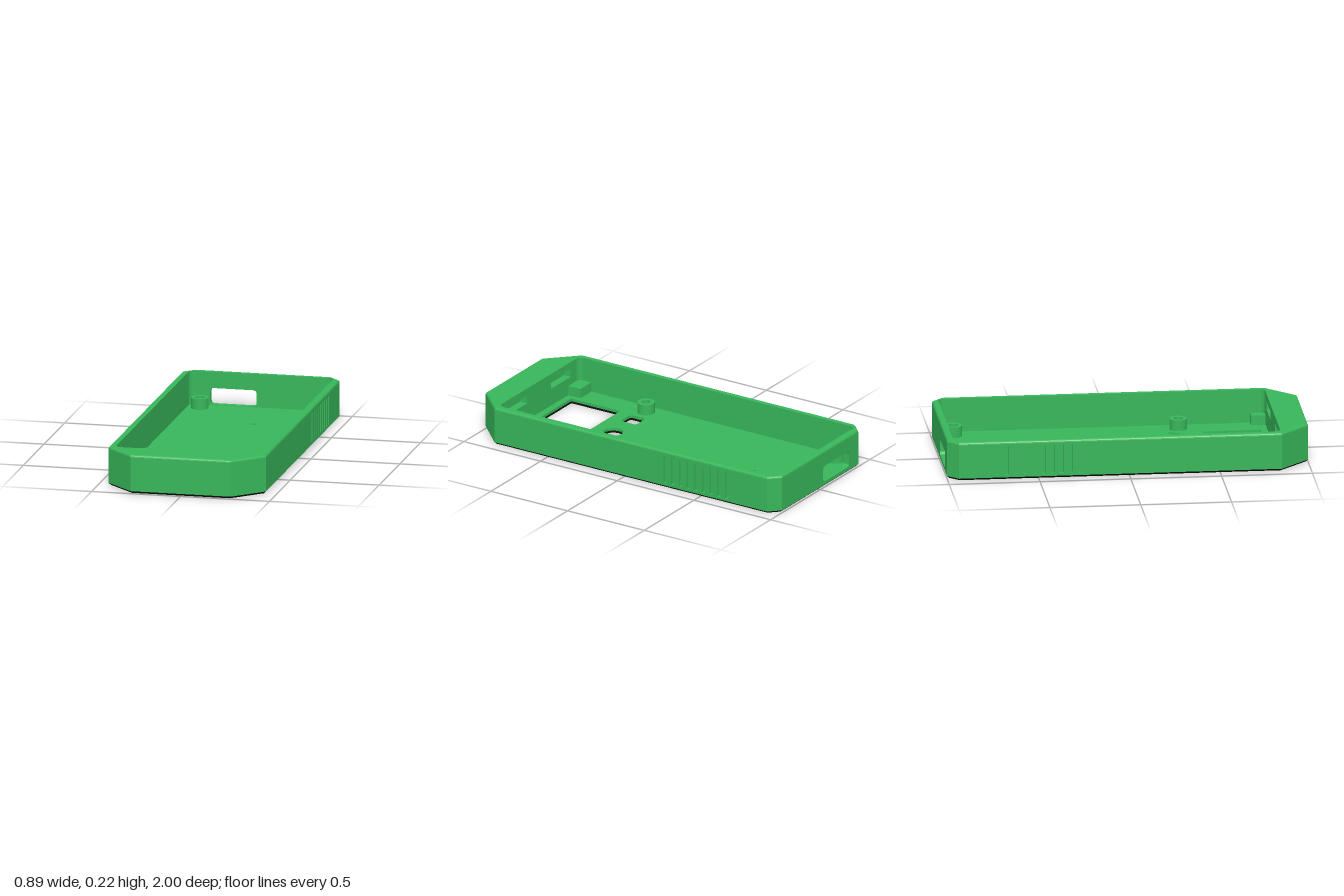
import * as THREE from 'three';

const green = new THREE.MeshStandardMaterial({ color: 0x37b659 });
green.name = 'green';
const black = new THREE.MeshStandardMaterial({ color: 0x111111 });
black.name = 'black';
const darkGreen = new THREE.MeshStandardMaterial({ color: 0x1c5a2e });
darkGreen.name = 'dark green';

const HW = 0.443, INX = 0.405, INB = -0.965, INF = 0.835;
const FLOOR = 0.03, TOP = 0.218, BEVEL = 0.014;

// Mirrors a half outline (back to front on +x) into a closed loop
const mirrorLoop = (half) => [...half, ...half.map(([x, z]) => [-x, z]).reverse()];

// Outer outline inset by d, optionally with the vent grooves
function outer(d = 0, vents = false) {
  const back = 0.06 - 0.586 * d, front = 0.162 - 0.586 * d, x = HW - d;
  const half = [[x - back, -1 + d], [x, -1 + d + back]];
  if (vents) {
    for (let i = 8; i >= 0; i--) {
      const z = -0.275 - i * 0.05;
      half.push([x, z - 0.01], [x - 0.015, z - 0.01], [x - 0.015, z + 0.01], [x, z + 0.01]);
    }
  }
  half.push([x, 1 - d - front], [x - front, 1 - d]);
  return mirrorLoop(half);
}

// Cavity outline with rounded corners, optionally with the catch slots in front
function inner(slots = false) {
  const r = 0.03, half = [];
  for (const [cz, start] of [[INB + r, -Math.PI / 2], [INF - r, 0]]) {
    for (let i = 0; i <= 5; i++) {
      const a = start + (i / 5) * Math.PI / 2;
      half.push([INX - r + r * Math.cos(a), cz + r * Math.sin(a)]);
    }
  }
  if (slots) half.push([0.32, INF], [0.32, INF + 0.045], [0.12, INF + 0.045], [0.12, INF]);
  return mirrorLoop(half);
}

const toShape = (pts) => new THREE.Shape(pts.map(([x, z]) => new THREE.Vector2(x, z)));

function circle(x, z, r) {
  const s = new THREE.Shape();
  s.absarc(x, z, r, 0, Math.PI * 2, false);
  return s;
}

// Polygon with rounded corners
function rounded(pts, r) {
  const s = new THREE.Shape(), v = pts.map(([x, y]) => new THREE.Vector2(x, y)), n = v.length;
  v.forEach((p, i) => {
    const from = v[(i + n - 1) % n].clone().sub(p).setLength(r).add(p);
    const to = v[(i + 1) % n].clone().sub(p).setLength(r).add(p);
    if (i) s.lineTo(from.x, from.y); else s.moveTo(from.x, from.y);
    s.quadraticCurveTo(p.x, p.y, to.x, to.y);
  });
  s.closePath();
  return s;
}
const rect = (x0, x1, y0, y1) => [[x0, y0], [x1, y0], [x1, y1], [x0, y1]];

export function createModel() {
  const model = new THREE.Group();
  const add = (name, geo, mat) => {
    const m = new THREE.Mesh(geo, mat);
    m.name = name;
    model.add(m);
    return m;
  };
  // Flat layer of a plan shape between two heights
  const slab = (name, shape, holes, y0, y1, mat = green) => {
    shape.holes = holes;
    const g = new THREE.ExtrudeGeometry(shape, { depth: y1 - y0, bevelEnabled: false, curveSegments: 16 });
    return add(name, g.rotateX(Math.PI / 2).translate(0, y1, 0), mat);
  };
  // Sloping strip between two outlines
  const band = (name, lo, y0, hi, y1, mat) => {
    const pos = [], n = lo.length;
    for (let i = 0; i < n; i++) {
      const j = (i + 1) % n;
      const a = [lo[i][0], y0, lo[i][1]], b = [lo[j][0], y0, lo[j][1]];
      const c = [hi[i][0], y1, hi[i][1]], d = [hi[j][0], y1, hi[j][1]];
      pos.push(...a, ...c, ...b, ...b, ...c, ...d);
    }
    const g = new THREE.BufferGeometry();
    g.setAttribute('position', new THREE.Float32BufferAttribute(pos, 3));
    g.computeVertexNormals();
    add(name, g, mat);
  };

  const bosses = [[-0.33, -0.888], [0.33, -0.888], [-0.33, 0.35], [0.33, 0.35]];
  const floorHoles = (screwRadius) => [
    ...bosses.map(([x, z]) => circle(x, z, screwRadius)),
    rounded(rect(-0.25, -0.15, 0.3, 0.4), 0.02),
    circle(0, 0.35, 0.055),
    rounded([[0.125, 0.288], [0.275, 0.288], [0.2, 0.415]], 0.025),
    toShape(rect(-0.265, 0.262, 0.475, 0.795)),
    circle(0.04, -0.588, 0.016),
  ];

  // Black base skin with chamfered edge, and floor
  slab('baseSkin', toShape(outer(0.013)), floorHoles(0.036), 0.002, 0.014, black);
  band('baseChamfer', outer(0.013), 0.002, outer(), 0.014, black);
  slab('floor', toShape(outer()), floorHoles(0.026), 0.014, FLOOR);

  // Lower wall, open at the back for the port panel
  slab('lowerWall', toShape([
    [0, -1], ...outer(0, true), [-0.32, -1],
    [-0.32, INB], ...inner().reverse(), [0, INB],
  ]), [], FLOOR, 0.13);
  const panel = toShape(rect(-0.32, 0, FLOOR, 0.13));
  panel.holes = [rounded(rect(-0.29, -0.03, 0.033, 0.126), 0.022)];
  add('portPanel', new THREE.ExtrudeGeometry(panel, { depth: 0.035, bevelEnabled: false })
    .translate(0, 0, -1), green);

  // Upper wall with catch slots, then the plain wall and rounded rim
  slab('slotWall', toShape(outer(0, true)), [toShape(inner(true))], 0.13, 0.178);
  slab('ventTopWall', toShape(outer(0, true)), [toShape(inner())], 0.178, 0.19);
  slab('upperWall', toShape(outer()), [toShape(inner())], 0.19, TOP - BEVEL);
  slab('rim', toShape(outer(BEVEL)), [toShape(inner())], TOP - BEVEL, TOP);
  const steps = 4;
  for (let i = 0; i < steps; i++) {
    const [a, b] = [i, i + 1].map((k) => (k / steps) * Math.PI / 2);
    const inset = (t) => outer(BEVEL * (1 - Math.cos(t)));
    const height = (t) => TOP - BEVEL + BEVEL * Math.sin(t);
    band('rimEdge', inset(a), height(a), inset(b), height(b), green);
  }

  // Screw bosses
  for (const [x, z] of bosses) {
    slab('screwBoss', circle(x, z, 0.048), [circle(x, z, 0.026)], FLOOR, 0.09);
  }

  // Corner support blocks beside the window
  slab('leftCornerBlock', toShape(rect(0.35, INX, 0.755, INF)), [], FLOOR, 0.085);
  slab('rightCornerBlock', toShape(rect(-INX, -0.295, 0.755, INF)), [], FLOOR, 0.085);

  // Round inlays under the base
  for (const [x, z] of [[0.14, -0.367], [-0.14, -0.367], [0, 0.053]]) {
    slab('baseInlay', circle(x, z, 0.057), [], 0, 0.004, darkGreen);
  }
  return model;
}
